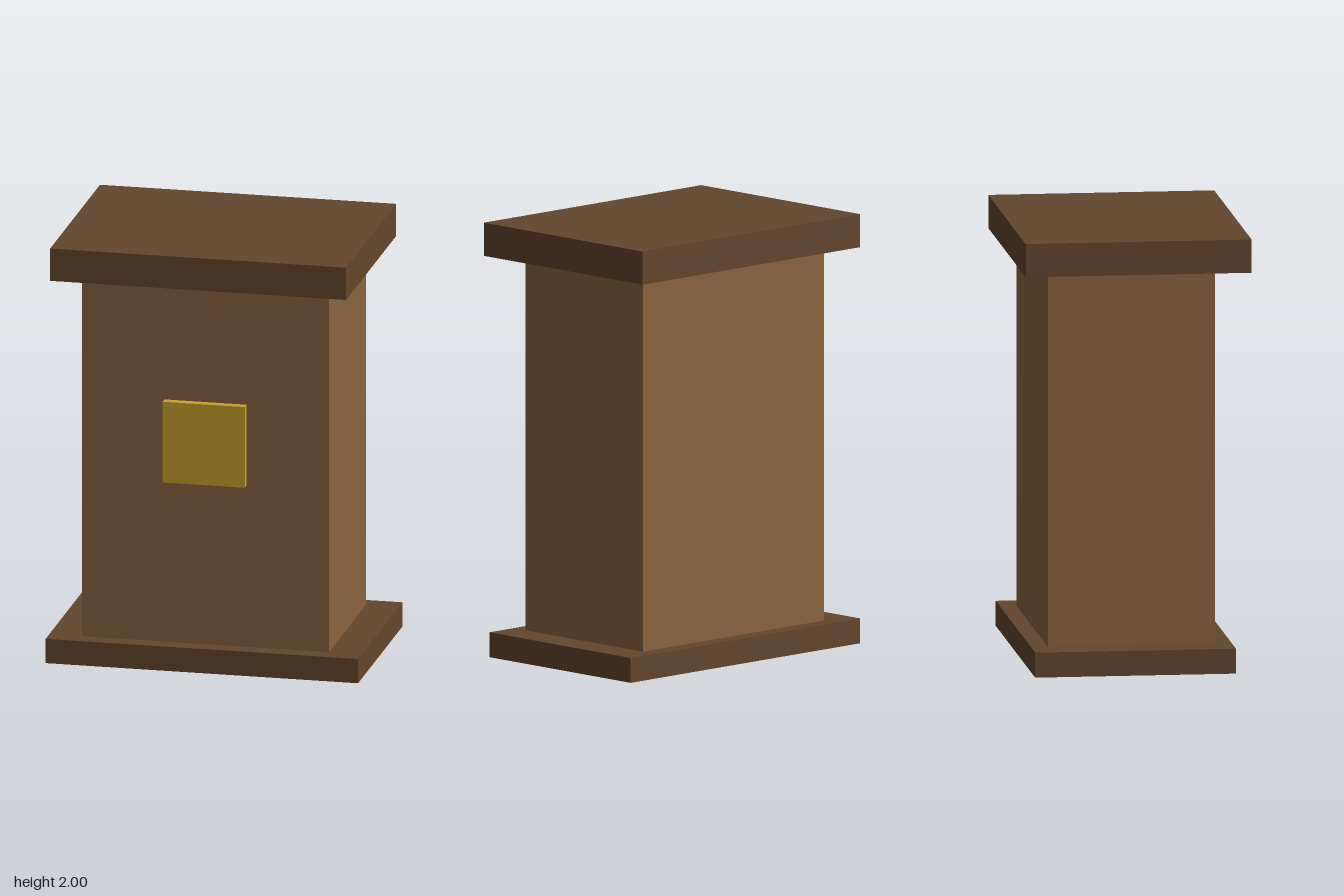
import * as THREE from 'three';

// All sizes are whole steps of one module; the full height is 52 steps.
const U = 2 / 52;

export function createModel() {
  const group = new THREE.Group();
  const material = (name, color) => {
    const m = new THREE.MeshStandardMaterial({ color });
    m.name = name;
    return m;
  };
  const darkWood = material('dark wood', 0x64462d);
  const wood = material('wood', 0x8a6440);
  const gold = material('gold', 0xc9a22d);

  // Box given by width, height, depth, its bottom and its centre in z.
  const box = (name, mat, w, h, d, bottom, z) => {
    const mesh = new THREE.Mesh(new THREE.BoxGeometry(w * U, h * U, d * U), mat);
    mesh.name = name;
    mesh.position.set(0, (bottom + h / 2) * U, z * U);
    group.add(mesh);
  };

  box('base', darkWood, 38, 3, 24, 0, -0.5);
  box('body', wood, 30, 45, 20, 3, -0.5);
  box('topSlab', darkWood, 36, 4, 27, 48, 0);
  // Plaque fixed to the front of the body
  box('plaque', gold, 10, 10, 1, 23, 10);

  return group;
}
